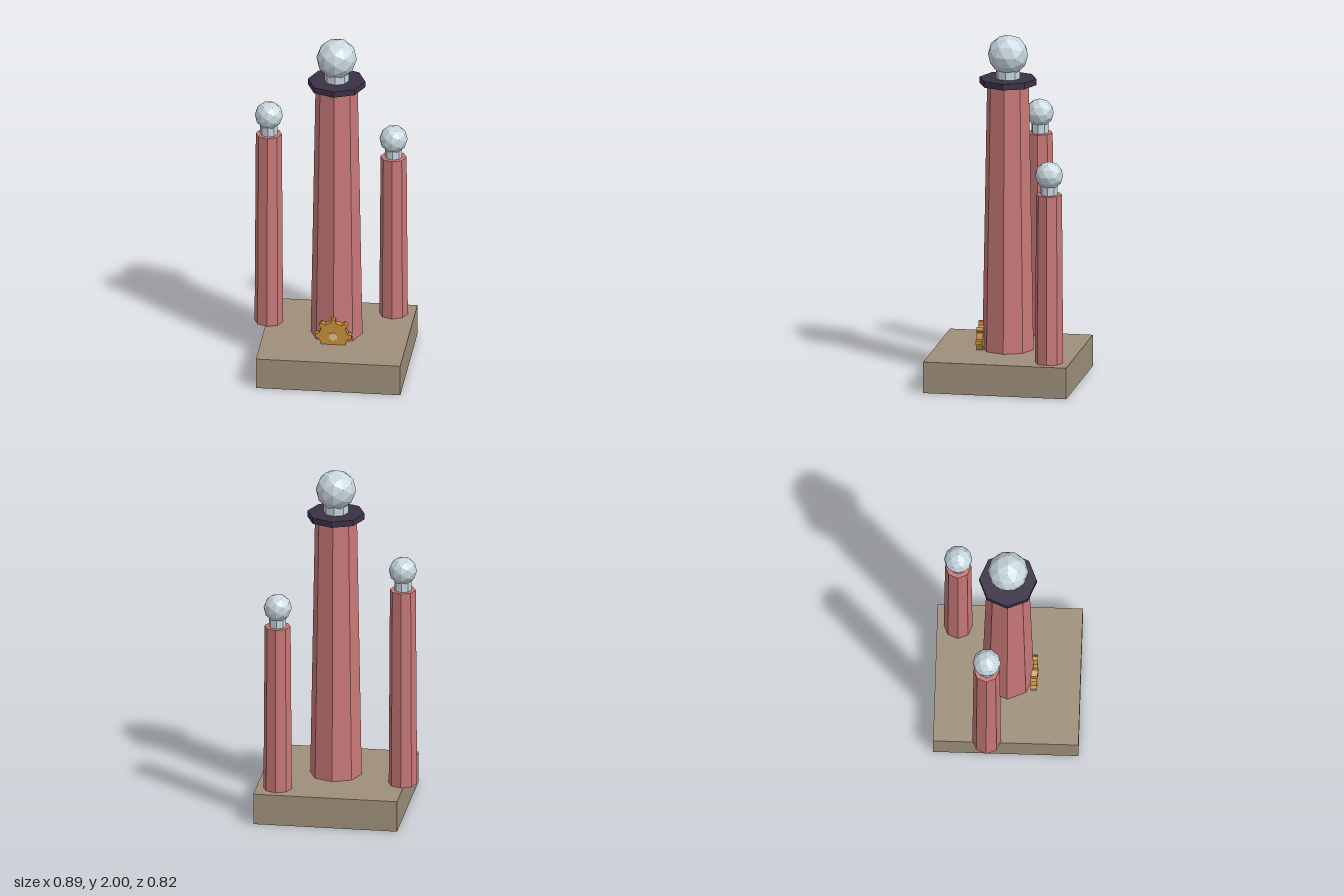
import * as THREE from 'three';

const mat = (color) => new THREE.MeshStandardMaterial({ color, flatShading: true });
const STONE = mat(0x9e8f7b), PINK = mat(0xc97878), DARK = mat(0x3b3145);
const SILVER = mat(0xc8d6de), BRASS = mat(0xc8913a), PALE = mat(0xe0c48a);

function add(parent, name, geometry, material, x, y, z) {
  const mesh = new THREE.Mesh(geometry, material);
  mesh.name = name;
  mesh.position.set(x, y, z);
  parent.add(mesh);
  return mesh;
}

// Upright eight-sided prism between two heights
function column(parent, name, rTop, rBottom, y0, y1, material) {
  return add(parent, name, new THREE.CylinderGeometry(rTop, rBottom, y1 - y0, 8), material, 0, (y0 + y1) / 2, 0);
}

// Tapered shaft with a short neck and a faceted ball on top
function tower(parent, name, o) {
  const g = new THREE.Group();
  g.name = name;
  g.position.set(o.x, 0, o.z);
  column(g, 'shaft', o.rTop, o.rBottom, 0.18, o.top, PINK);
  if (o.capRadius) column(g, 'capPlate', o.capRadius, o.capRadius, o.top, o.neckBase, DARK);
  column(g, 'neck', o.neck, o.neck, o.neckBase, o.ballY - o.ball * 0.6, SILVER);
  add(g, 'ball', new THREE.IcosahedronGeometry(o.ball, 1), SILVER, 0, o.ballY, 0);
  parent.add(g);
}

// Gear outline: each tooth has two root points and two tip points
function gearShape(teeth, root, tip) {
  const pts = [];
  for (let i = 0; i < teeth; i++) {
    const mid = (i / teeth) * Math.PI * 2;
    for (const [r, da] of [[root, -0.17], [tip, -0.11], [tip, 0.11], [root, 0.17]]) {
      pts.push(new THREE.Vector2(r * Math.cos(mid + da), r * Math.sin(mid + da)));
    }
  }
  return new THREE.Shape(pts);
}

export function createModel() {
  const model = new THREE.Group();
  model.name = 'towers';
  const cx = 0.033;

  add(model, 'base', new THREE.BoxGeometry(0.82, 0.18, 0.82), STONE, cx, 0.09, 0);

  tower(model, 'mainTower', {
    x: cx, z: 0, rTop: 0.12, rBottom: 0.147, top: 1.715,
    capRadius: 0.163, neckBase: 1.75, neck: 0.07, ball: 0.115, ballY: 1.885,
  });
  const small = { rTop: 0.074, rBottom: 0.081, neck: 0.049, ball: 0.08 };
  tower(model, 'tallSideTower', { ...small, x: -0.365, z: -0.108, top: 1.345, neckBase: 1.345, ballY: 1.46 });
  tower(model, 'shortSideTower', { ...small, x: 0.322, z: -0.29, top: 1.155, neckBase: 1.155, ballY: 1.265 });

  // Gear half sunk into the base, against the front of the main tower
  const gear = new THREE.Group();
  gear.name = 'gear';
  gear.position.set(cx, 0.23, 0.13);
  add(gear, 'gearWheel', new THREE.ExtrudeGeometry(gearShape(8, 0.084, 0.105), { depth: 0.037, bevelEnabled: false }), BRASS, 0, 0, 0);
  const hub = add(gear, 'gearHub', new THREE.CylinderGeometry(0.026, 0.026, 0.03, 6), PALE, 0, 0, 0.026);
  hub.rotation.x = Math.PI / 2;
  model.add(gear);

  return model;
}
